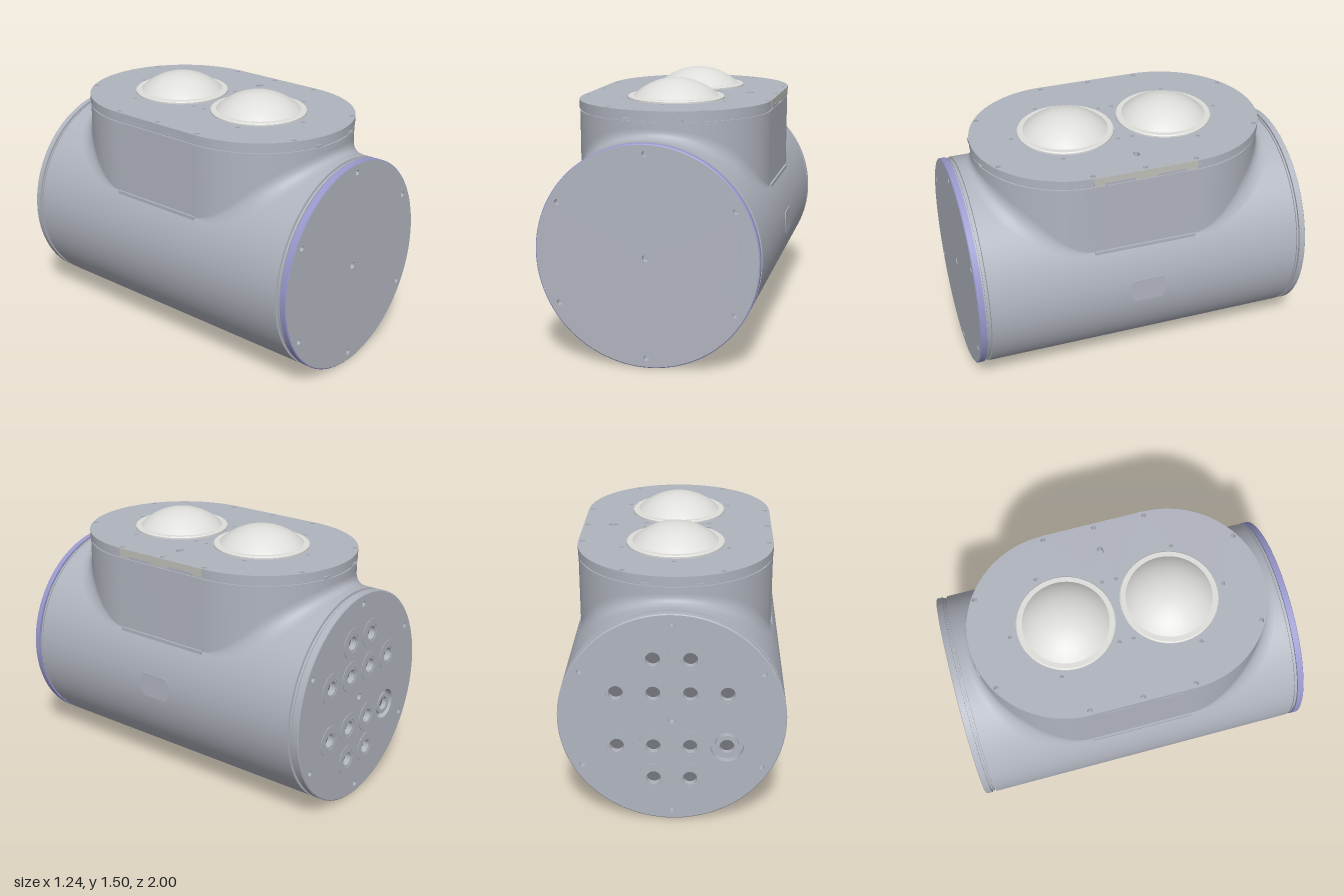
import * as THREE from 'three';
import { toCreasedNormals } from 'three/addons/utils/BufferGeometryUtils.js';

const CY = 0.625; // axis height of the drum
const R = 0.62; // drum radius
const HALF = 0.3; // half length of the straight housing sides

const material = (name, color) => {
  const m = new THREE.MeshStandardMaterial({ color });
  m.name = name;
  return m;
};
const grey = material('satin grey', 0xb0b4be);
const lavender = material('lavender', 0x9898cc);
const pale = material('pale dome', 0xdededb);
const warm = material('warm grey', 0xbfc0b9);
const dark = material('dark grey', 0x74767c);

function add(parent, name, geometry, mat, x = 0, y = 0, z = 0) {
  const mesh = new THREE.Mesh(geometry, mat);
  mesh.name = name;
  mesh.position.set(x, y, z);
  parent.add(mesh);
  return mesh;
}

const lathe = (points) => toCreasedNormals(
  new THREE.LatheGeometry(points.map(([r, h]) => new THREE.Vector2(r, h)), 128), 0.4);
const latheZ = (points) => lathe(points).rotateX(Math.PI / 2);

const extrude = (shape, depth) => toCreasedNormals(
  new THREE.ExtrudeGeometry(shape, { depth, bevelEnabled: false, curveSegments: 48 }), 0.5);

function circle(r, x = 0, y = 0, Type = THREE.Path) {
  const c = new Type();
  c.absarc(x, y, r, 0, Math.PI * 2, false);
  return c;
}

function stadium(r) {
  const s = new THREE.Shape();
  s.absarc(0, HALF, r, 0, Math.PI, false);
  s.absarc(0, -HALF, r, Math.PI, Math.PI * 2, false);
  s.closePath();
  return s;
}

// Vertical stadium block between two heights
function stadiumBlock(r, bottom, top, holes = []) {
  const s = stadium(r);
  s.holes.push(...holes);
  return extrude(s, top - bottom).rotateX(Math.PI / 2).translate(0, top, 0);
}

// Round end cover with six screw holes, a centre hole and a chamfered rim
function endPlate(name, rimMaterial, holes = []) {
  const group = new THREE.Group();
  group.name = name;
  const disc = circle(0.614, 0, 0, THREE.Shape);
  disc.holes.push(circle(0.02), ...holes);
  for (let i = 0; i < 6; i++) {
    const a = Math.PI / 2 + i * Math.PI / 3;
    disc.holes.push(circle(0.016, 0.565 * Math.cos(a), 0.565 * Math.sin(a)));
  }
  add(group, 'coverDisc', extrude(disc, 0.038), grey, 0, 0, 0.96);
  add(group, 'coverRim', latheZ([[0.6, 0.96], [R, 0.96], [R, 0.994], [0.614, 0.998]]), rimMaterial);
  group.position.y = CY;
  return group;
}

// Blend between the housing's rounded end and the drum
function filletGeometry() {
  const g = new THREE.PlaneGeometry(1, 1, 64, 10);
  const p = g.attributes.position;
  const drumTop = (x) => CY + Math.sqrt(Math.max(0, R * R - x * x));
  const wall = 0.553;
  for (let i = 0; i < p.count; i++) {
    const t = Math.PI * (0.5 - p.getX(i));
    const v = p.getY(i) + 0.5;
    const r = (0.05 + 0.03 * Math.sin(2 * t) ** 2) * Math.min(1, 1.6 * Math.sin(t));
    const px = wall * Math.cos(t), qx = (wall + r) * Math.cos(t);
    const a = (1 - v) ** 2, b = 2 * v * (1 - v), c = v * v;
    const rad = wall + r * a;
    const y = a * drumTop(qx) + b * drumTop(px) + c * (drumTop(px) + r);
    p.setXYZ(i, rad * Math.cos(t), y, HALF + rad * Math.sin(t));
  }
  g.computeVertexNormals();
  return g;
}

export function createModel() {
  const model = new THREE.Group();
  model.name = 'twinDomeUnit';

  // Drum body with grooves near both ends
  add(model, 'drum', latheZ([
    [0, -0.96], [0.605, -0.96], [0.605, -0.953], [0.613, -0.953], [0.613, -0.946],
    [0.605, -0.946], [0.605, -0.935], [R, -0.933], [R, 0.93], [0.605, 0.932],
    [0.605, 0.943], [0.613, 0.943], [0.613, 0.95], [0.605, 0.95], [0.605, 0.96], [0, 0.96],
  ]), grey, 0, CY, 0);

  model.add(endPlate('frontCover', lavender));

  // Rear cover with twelve connector ports, one of them sunk
  const ports = [];
  for (const s of [1, -1]) {
    for (const x of [-0.1, 0.1]) ports.push([x, 0.36 * s]);
    for (const x of [-0.3, -0.1, 0.1, 0.3]) ports.push([x, 0.16 * s]);
  }
  const isSunk = ([x, y]) => x > 0.2 && y < 0;
  const rear = endPlate('rearCover', grey,
    ports.map((q) => circle(isSunk(q) ? 0.09 : 0.04, q[0], q[1])));
  for (const q of ports) {
    const sunk = isSunk(q);
    const ring = circle(sunk ? 0.065 : 0.09, 0, 0, THREE.Shape);
    ring.holes.push(circle(sunk ? 0.04 : 0.054));
    add(rear, 'portRing', extrude(ring, sunk ? 0.03 : 0.004), grey, q[0], q[1], sunk ? 0.96 : 0.997);
    add(rear, 'portFloor', new THREE.CircleGeometry(0.04, 24), dark, q[0], q[1], 0.962);
  }
  rear.rotation.y = Math.PI;
  model.add(rear);

  // Raised housing, blended into the drum at its rounded ends
  add(model, 'housing', stadiumBlock(0.553, 0.85, 1.335), grey);
  add(model, 'lidGap', stadiumBlock(0.545, 1.335, 1.346), grey);
  const fillet = filletGeometry();
  add(model, 'frontFillet', fillet, grey);
  add(model, 'rearFillet', fillet, grey).rotation.y = Math.PI;

  // Lid with screw holes and pin holes
  const holes = [];
  for (const sx of [1, -1]) {
    holes.push(circle(0.014, 0.53 * sx, 0));
    for (const sz of [1, -1]) {
      holes.push(circle(0.014, 0.53 * sx, 0.3 * sz), circle(0.014, 0.27 * sx, 0.762 * sz));
      holes.push(circle(0.011, 0.302 * sx, 0.4 * sz), circle(0.011, 0.187 * sx, 0.04 * sz));
    }
  }
  holes.push(circle(0.011, 0, 0.62), circle(0.011, 0, -0.62));
  const window = new THREE.Path();
  window.absarc(0.388, 0, 0.018, -Math.PI / 2, Math.PI / 2, false);
  window.absarc(0.374, 0, 0.018, Math.PI / 2, Math.PI * 1.5, false);
  holes.push(window);
  add(model, 'lid', stadiumBlock(0.556, 1.345, 1.395, holes), grey);
  add(model, 'lidSideFace', new THREE.BoxGeometry(0.002, 0.05, 0.6), warm, 0.556, 1.37, 0);

  // Pry notches along the lid's lower edge
  for (const s of [1, -1]) {
    for (const z of [-0.15, 0.15]) {
      add(model, 'lidNotch', new THREE.BoxGeometry(0.004, 0.016, 0.17), grey, 0.556 * s, 1.35, z);
    }
    add(model, 'endNotch', new THREE.BoxGeometry(0.33, 0.014, 0.06), grey, 0, 1.348, 0.815 * s);
    // Long ledge where the housing's flat side meets the drum
    add(model, 'sideLedge', new THREE.BoxGeometry(0.03, 0.02, 0.6), grey, 0.549 * s, 0.9, 0);
  }

  // Twin domes with flanges
  const dome = [[0.28, 1.39], [0.28, 1.404], [0.274, 1.41], [0.245, 1.41]];
  const rad = (0.245 ** 2 + 0.1 ** 2) / 0.2;
  const span = Math.asin(0.245 / rad);
  for (let i = 1; i <= 20; i++) {
    const a = span * (1 - i / 20);
    dome.push([rad * Math.sin(a), 1.51 - rad + rad * Math.cos(a)]);
  }
  const domeGeometry = lathe(dome);
  for (const z of [0.3, -0.3]) add(model, 'dome', domeGeometry, pale, 0, 0, z);

  // Flat pad on the drum's left side
  const pad = new THREE.Shape();
  pad.moveTo(-0.08, -0.073);
  pad.lineTo(0.08, -0.073);
  pad.bezierCurveTo(0.12, -0.04, 0.12, 0.04, 0.08, 0.073);
  pad.lineTo(-0.08, 0.073);
  pad.bezierCurveTo(-0.12, 0.04, -0.12, -0.04, -0.08, -0.073);
  add(model, 'sidePad', extrude(pad, 0.008).rotateY(Math.PI / 2), grey, 0.613, CY, 0);

  return model;
}
